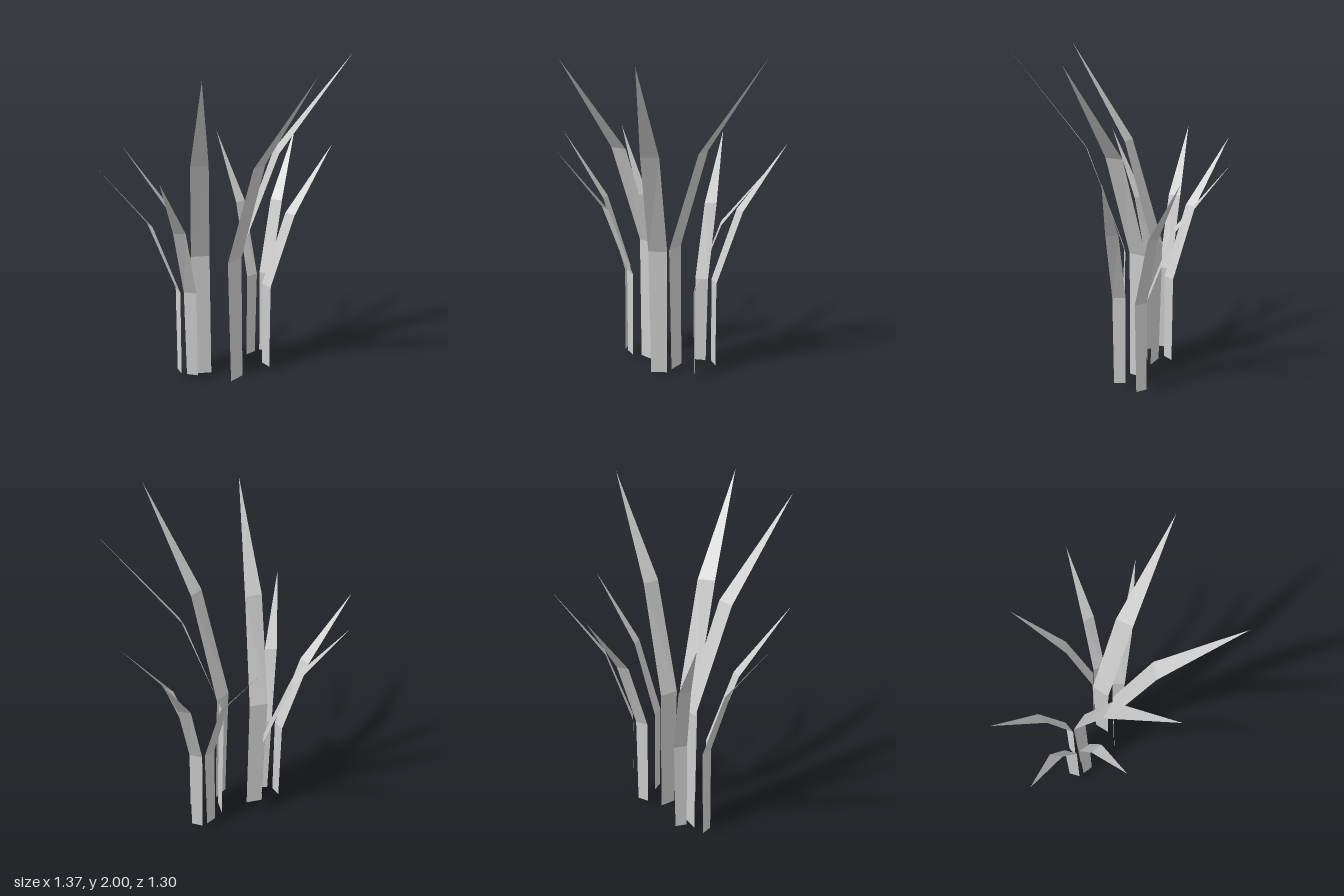
import * as THREE from 'three';

const material = new THREE.MeshStandardMaterial({ color: 0xcccccc, flatShading: true, side: THREE.DoubleSide });

// One folded blade: upright stem, bent middle, pointed tip. Faces +z; lean shifts the tip sideways.
function bladeGeometry(lean) {
  // [sideways shift, height, outward distance, width, twist]
  const sections = [
    [0.005, 0, 0.01, 0.1, 0],
    [0, 0.8, 0, 0.112, 0],
    [lean * 0.45, 1.43, 0.22, 0.104, THREE.MathUtils.degToRad(6)],
  ];
  const positions = [];
  for (const [shift, y, out, width, twist] of sections) {
    const dx = Math.cos(twist) * width / 2, dz = -Math.sin(twist) * width / 2;
    positions.push(shift - dx, y, out - dz, shift + dx, y, out + dz);
  }
  positions.push(lean, 1.985, 0.638);
  const geometry = new THREE.BufferGeometry();
  geometry.setAttribute('position', new THREE.Float32BufferAttribute(positions, 3));
  geometry.setIndex([0, 1, 3, 0, 3, 2, 2, 3, 5, 2, 5, 4, 4, 5, 6]);
  geometry.computeVertexNormals();
  return geometry;
}

export function createModel() {
  const group = new THREE.Group();
  group.name = 'grassTuft';

  // [x, base height, z, heading in degrees, lean, scale]
  const blades = [
    // tall inner blades
    [-0.155, 0.003, -0.2, -37, -0.03, 1],
    [-0.072, 0.015, 0.01, 0, -0.058, 1],
    [0.027, 0.015, -0.06, 54, -0.05, 1],
    // short outer blades
    [0.148, 0.035, 0.06, 85, -0.11, 0.7],
    [0.264, 0.043, -0.058, 113, -0.035, 0.7],
    [0.189, 0.04, -0.101, 173, -0.09, 0.7],
    [-0.122, 0.04, -0.267, 215, -0.054, 0.7],
    [-0.282, 0.04, -0.265, 250, -0.055, 0.7],
    [-0.26, 0.043, -0.18, -57, -0.03, 0.7],
  ];
  blades.forEach(([x, y, z, heading, lean, scale], i) => {
    const blade = new THREE.Mesh(bladeGeometry(lean), material);
    blade.name = (scale === 1 ? 'tallBlade' : 'shortBlade') + (i + 1);
    blade.position.set(x, y, z);
    blade.rotation.y = THREE.MathUtils.degToRad(heading);
    blade.scale.setScalar(scale);
    group.add(blade);
  });
  return group;
}
